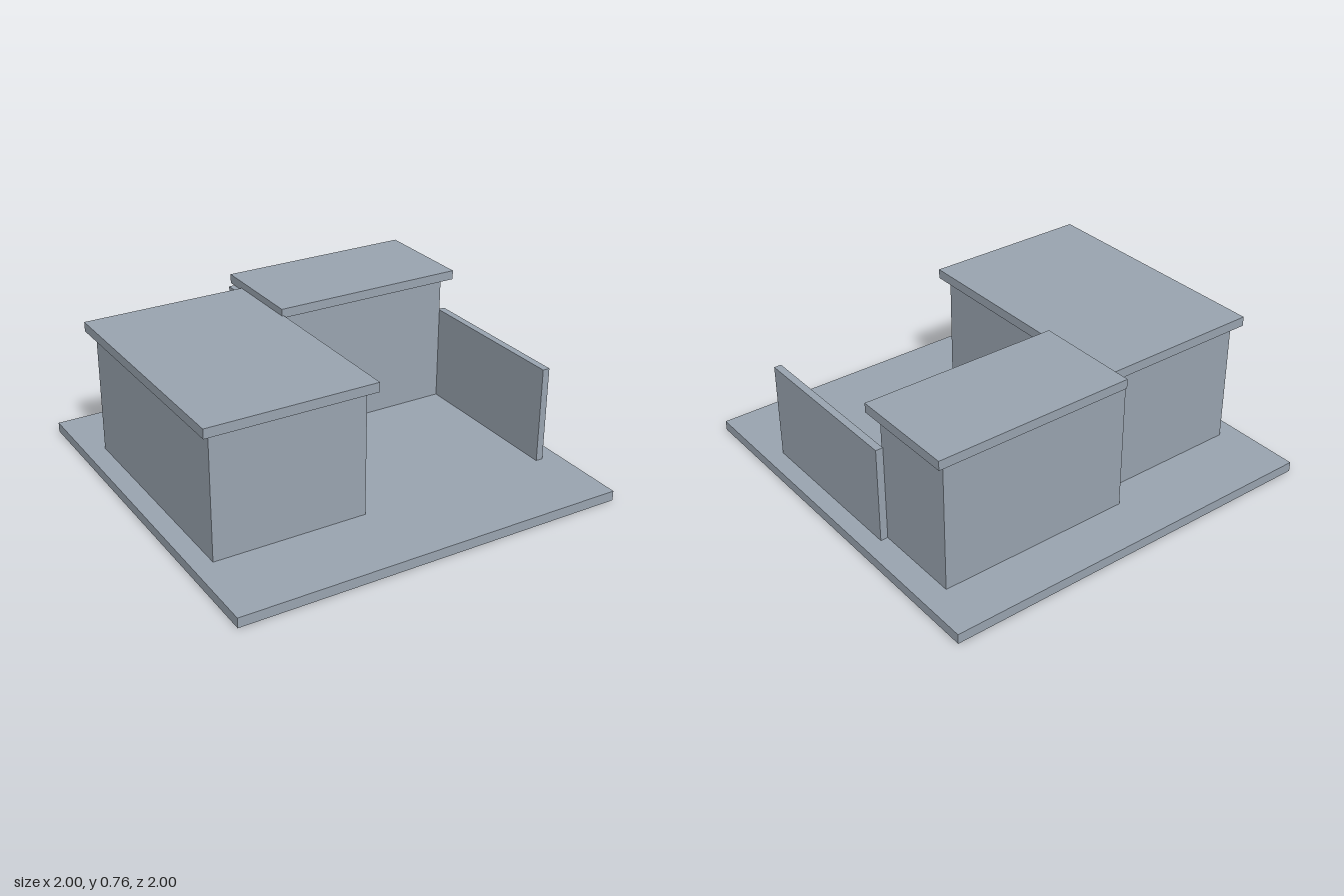
import * as THREE from 'three';

export function createModel() {
  const group = new THREE.Group();
  const grey = new THREE.MeshStandardMaterial({ color: 0x9aa5b1 });
  grey.name = 'blue grey';

  // Adds a box spanning the given [min, max] ranges
  function addBox(name, [x0, x1], [y0, y1], [z0, z1]) {
    const mesh = new THREE.Mesh(new THREE.BoxGeometry(x1 - x0, y1 - y0, z1 - z0), grey);
    mesh.position.set((x0 + x1) / 2, (y0 + y1) / 2, (z0 + z1) / 2);
    mesh.name = name;
    group.add(mesh);
  }

  // Ground slab
  addBox('baseSlab', [-1, 1], [0, 0.05], [-1, 1]);

  // Long wing with overhanging flat roof
  addBox('longWing', [-0.9, -0.12], [0.05, 0.682], [-0.62, 0.58]);
  addBox('longWingRoof', [-0.94, -0.08], [0.682, 0.73], [-0.66, 0.62]);

  // Rear wing with slightly higher roof
  addBox('rearWing', [-0.12, 0.873], [0.05, 0.718], [-0.74, -0.28]);
  addBox('rearWingRoof', [-0.09, 0.92], [0.718, 0.765], [-0.78, -0.24]);

  // Courtyard side wall
  addBox('courtyardWall', [0.873, 0.91], [0.05, 0.542], [-0.29, 0.58]);

  return group;
}
